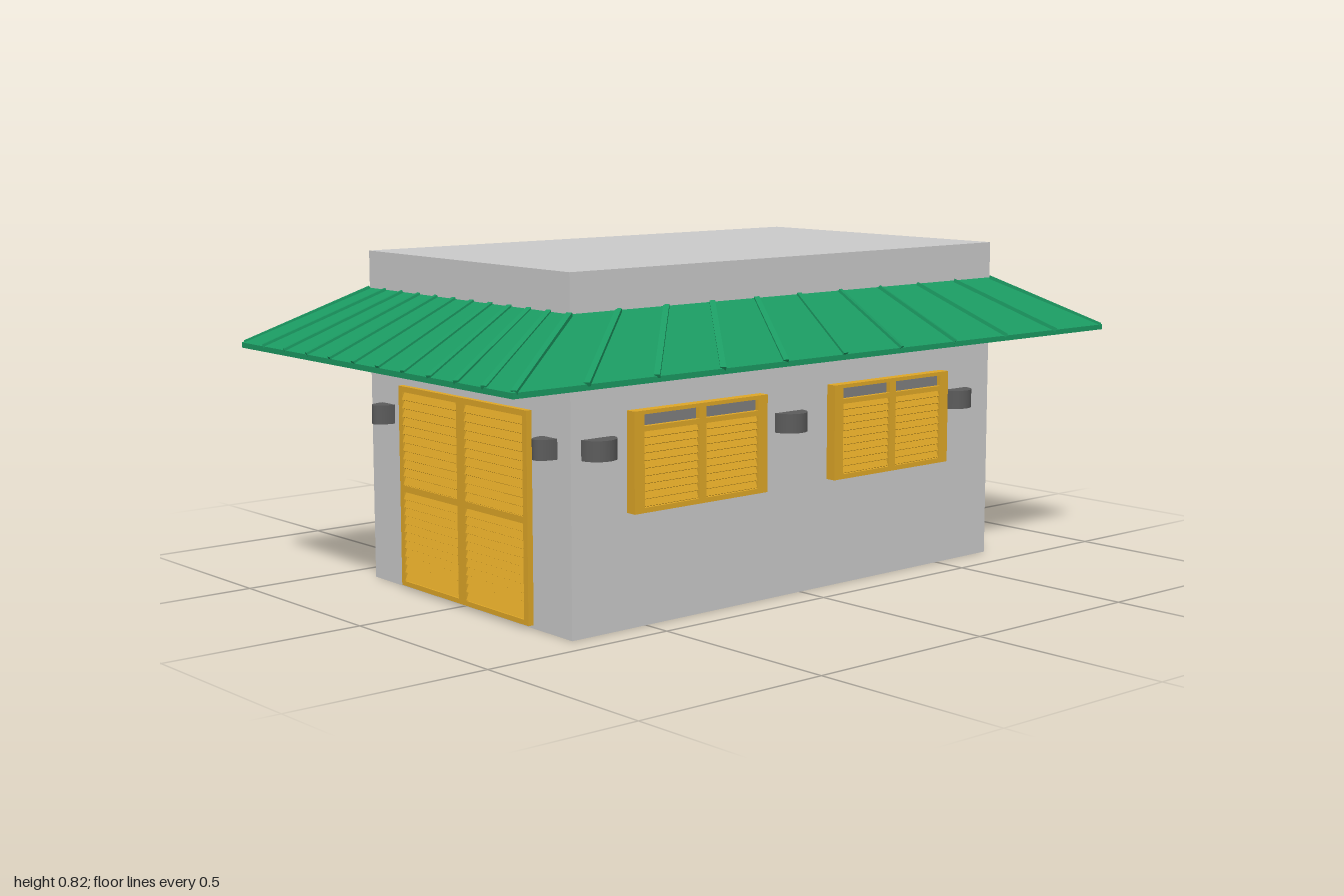
import * as THREE from 'three';

const mat = (color) => new THREE.MeshStandardMaterial({ color, side: THREE.DoubleSide });
const WALL = mat(0xcccccc), GREEN = mat(0x1b9a62), YELLOW = mat(0xe0a828);
const DARK = mat(0x5c5c5c), GLASS = mat(0x808080);

// half sizes of the walls and of the roof edge
const WX = 0.706, WZ = 0.418, RX = 0.982, RZ = 0.583;
const EAVE = 0.59, RIM = 0.603, ROOF_TOP = 0.733;

function add(parent, name, geometry, material, x = 0, y = 0, z = 0) {
  const mesh = new THREE.Mesh(geometry, material);
  mesh.name = name;
  mesh.position.set(x, y, z);
  parent.add(mesh);
  return mesh;
}

// box given by its limits
function block(parent, name, material, x0, x1, y0, y1, z0, z1) {
  return add(parent, name, new THREE.BoxGeometry(x1 - x0, y1 - y0, z1 - z0), material,
    (x0 + x1) / 2, (y0 + y1) / 2, (z0 + z1) / 2);
}

// louvred panel: backing with tilted slats
function louvres(parent, x0, x1, y0, y1, count, z) {
  block(parent, 'shutterPanel', YELLOW, x0, x1, y0, y1, 0.001, z - 0.008);
  const step = (y1 - y0) / count;
  for (let i = 0; i < count; i++) {
    const slat = add(parent, 'slat', new THREE.BoxGeometry(x1 - x0, step * 0.95, 0.005), YELLOW,
      (x0 + x1) / 2, y0 + (i + 0.5) * step, z - 0.005);
    slat.rotation.x = -0.4;
  }
}

// window facing +z, centred on x = 0
function makeWindow() {
  const g = new THREE.Group();
  g.name = 'window';
  const w = 0.208, y0 = 0.27, y1 = 0.505, d = 0.028;
  for (const s of [-1, 1]) {
    block(g, 'windowJamb', YELLOW, Math.min(s * w, s * (w - 0.03)), Math.max(s * w, s * (w - 0.03)), y0, y1, 0, d);
    const a = s < 0 ? -w + 0.03 : 0.011, b = s < 0 ? -0.011 : w - 0.03;
    louvres(g, a, b, y0 + 0.012, 0.458, 10, d - 0.004);
    block(g, 'transomPane', GLASS, a, b, 0.468, 0.496, 0, 0.016);
  }
  block(g, 'windowMullion', YELLOW, -0.011, 0.011, y0, y1, 0, d);
  block(g, 'windowSill', YELLOW, -w, w, y0, y0 + 0.012, 0, d);
  block(g, 'windowRail', YELLOW, -w, w, 0.457, 0.469, 0, d);
  block(g, 'windowHead', YELLOW, -w, w, 0.496, y1, 0, d);
  return g;
}

// door with one or more leaves facing +z
function makeDoor(width, leaves, d) {
  const g = new THREE.Group();
  g.name = 'door';
  const leaf = width / leaves;
  for (let i = 0; i < leaves; i++) {
    const a = -width / 2 + i * leaf, b = a + leaf;
    block(g, 'doorStile', YELLOW, a, a + 0.017, 0.008, 0.505, 0, d);
    block(g, 'doorStile', YELLOW, b - 0.017, b, 0.008, 0.505, 0, d);
    for (const [y0, y1] of [[0.008, 0.02], [0.244, 0.26], [0.491, 0.505]])
      block(g, 'doorRail', YELLOW, a + 0.017, b - 0.017, y0, y1, 0, d);
    louvres(g, a + 0.017, b - 0.017, 0.02, 0.244, 11, d);
    louvres(g, a + 0.017, b - 0.017, 0.26, 0.491, 11, d);
  }
  return g;
}

// half-round wall lamp facing +z
function makeLamp(halfWidth) {
  const g = new THREE.Group();
  g.name = 'wallLamp';
  const shape = new THREE.CylinderGeometry(1, 1, 0.047, 16, 1, false, -Math.PI / 2, Math.PI);
  shape.scale(halfWidth, 1, 0.047);
  add(g, 'lampShade', shape, DARK, 0, 0.428, 0);
  return g;
}

// roof rib laid from p to q
function rib(parent, name, p, q) {
  const mesh = add(parent, name, new THREE.BoxGeometry(0.014, 0.01, p.distanceTo(q)), GREEN);
  mesh.position.copy(p).lerp(q, 0.5);
  mesh.lookAt(q);
}

function makeRoof() {
  const roof = new THREE.Group();
  roof.name = 'roof';
  block(roof, 'roofRim', GREEN, -RX, RX, EAVE, RIM, -RZ, RZ);

  // sloping skirt: a box whose top is drawn in to the walls
  const skirt = new THREE.BoxGeometry(2 * RX, ROOF_TOP - RIM, 2 * RZ);
  const pos = skirt.attributes.position;
  for (let i = 0; i < pos.count; i++)
    if (pos.getY(i) > 0) pos.setXYZ(i, Math.sign(pos.getX(i)) * WX, pos.getY(i), Math.sign(pos.getZ(i)) * WZ);
  skirt.computeVertexNormals();
  add(roof, 'roofSlopes', skirt, GREEN, 0, (ROOF_TOP + RIM) / 2, 0);

  // standing seams on each slope and along the hips
  const v = (x, y, z) => new THREE.Vector3(x, y, z);
  for (const s of [-1, 1]) {
    for (let i = 1; i < 10; i++) {
      const t = i / 5 - 1;
      rib(roof, 'roofRib', v(t * RX, RIM, s * RZ), v(t * WX, ROOF_TOP, s * WZ));
    }
    for (let i = 1; i < 11; i++) {
      const t = i / 5.5 - 1;
      rib(roof, 'roofRib', v(s * RX, RIM, t * RZ), v(s * WX, ROOF_TOP, t * WZ));
    }
    for (const e of [-1, 1])
      rib(roof, 'hipRib', v(s * (RX - 0.006), RIM, e * (RZ - 0.004)), v(s * WX, ROOF_TOP, e * WZ));
  }
  return roof;
}

export function createModel() {
  const model = new THREE.Group();
  model.name = 'house';
  block(model, 'walls', WALL, -WX, WX, 0, 0.825, -WZ, WZ);
  model.add(makeRoof());

  const place = (part, x, z, turn) => {
    part.position.set(x, 0, z);
    part.rotation.y = turn;
    model.add(part);
  };
  // front wall
  for (const x of [-0.335, 0.31]) place(makeWindow(), x, WZ, 0);
  for (const x of [-0.63, -0.03, 0.572]) place(makeLamp(0.046), x, WZ, 0);
  // back wall, whose shutters stand clear of it
  place(makeWindow(), 0.22, -WZ - 0.037, Math.PI);
  for (const x of [0.6, -0.63]) place(makeLamp(0.046), x, -WZ, Math.PI);
  // end walls
  place(makeDoor(0.262, 1, 0.03), WX, 0.112, Math.PI / 2);
  place(makeDoor(0.54, 2, 0.015), -WX, 0, -Math.PI / 2);
  for (const z of [0.34, -0.34]) {
    place(makeLamp(0.028), WX, z, Math.PI / 2);
    place(makeLamp(0.028), -WX, z, -Math.PI / 2);
  }

  // the plan is slightly out of square: skew every part
  const skew = new THREE.Matrix4().set(1, 0, -0.03, 0, 0, 1, 0, 0, -0.018, 0, 1, 0, 0, 0, 0, 1);
  model.updateMatrixWorld(true);
  model.traverse((o) => {
    if (o.isMesh) o.geometry.applyMatrix4(skew.clone().multiply(o.matrixWorld));
  });
  model.traverse((o) => {
    o.position.set(0, 0, 0);
    o.rotation.set(0, 0, 0);
  });
  return model;
}
